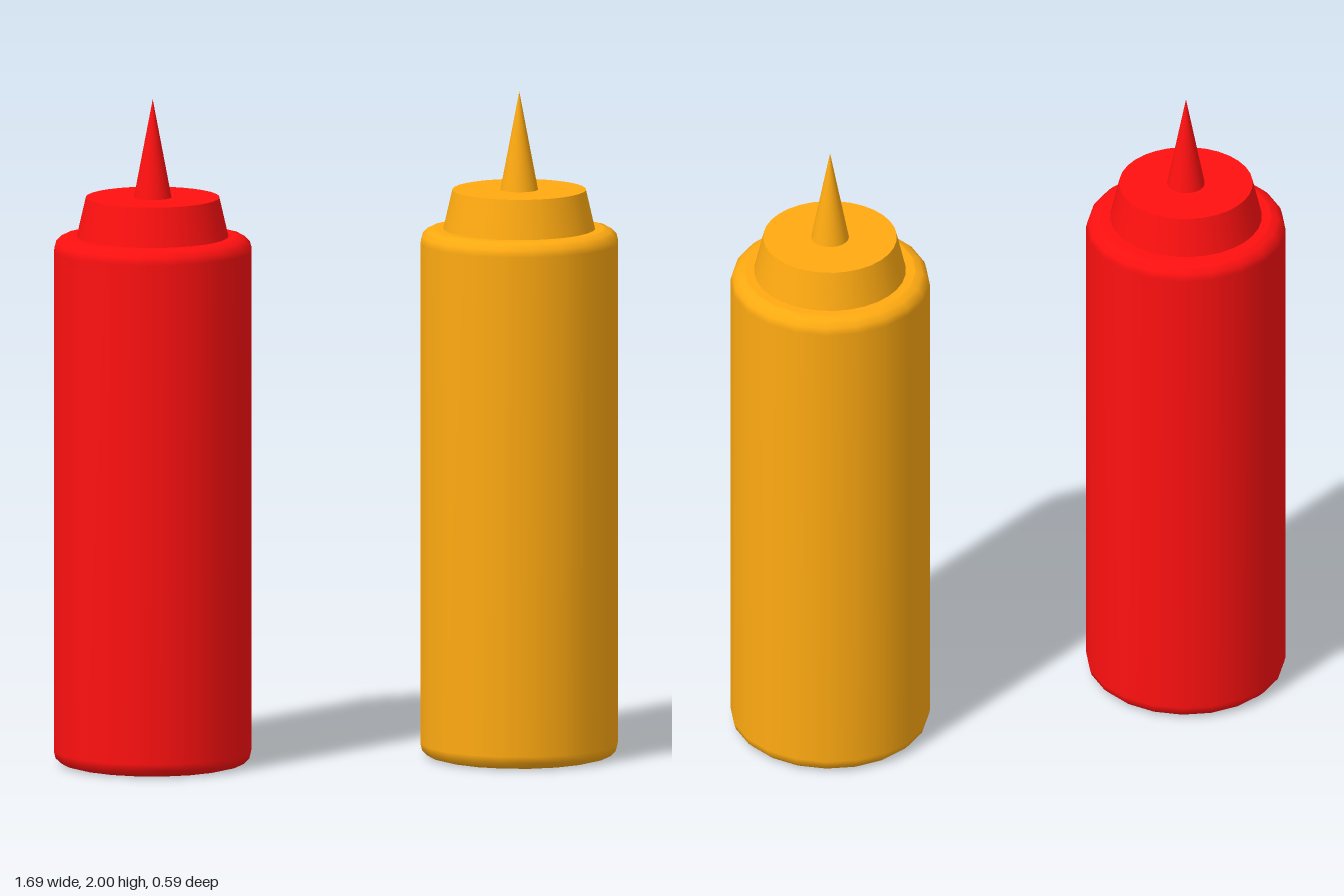
import * as THREE from 'three';

const SIDES = 20;
const RADIUS = 0.297;
const BODY_TOP = 1.588;
const LID_TOP = 1.705;

function add(parent, name, geometry, material, y) {
  const mesh = new THREE.Mesh(geometry, material);
  mesh.name = name;
  mesh.position.y = y;
  parent.add(mesh);
  return mesh;
}

function createBottle(name, color, x) {
  const bottle = new THREE.Group();
  bottle.name = name;
  bottle.position.x = x;
  const material = new THREE.MeshStandardMaterial({ color });

  // Body wall with softly rounded bottom and shoulder
  const bevel = 0.042;
  const profile = [];
  for (let i = 0; i <= 3; i++) {
    const a = (i / 3) * Math.PI / 2;
    profile.push(new THREE.Vector2(RADIUS - bevel * (1 - Math.sin(a)), bevel * (1 - Math.cos(a))));
  }
  for (let i = 3; i >= 0; i--) {
    profile.push(new THREE.Vector2(profile[i].x, BODY_TOP - profile[i].y));
  }
  add(bottle, 'body', new THREE.LatheGeometry(profile, SIDES), material, 0);

  // Flat discs closing the body
  const disc = new THREE.CircleGeometry(RADIUS - bevel, SIDES);
  add(bottle, 'base', disc, material, 0).rotation.x = Math.PI / 2;
  add(bottle, 'shoulderTop', disc, material, BODY_TOP).rotation.x = -Math.PI / 2;

  // Tapered screw lid
  const lidHeight = LID_TOP - BODY_TOP;
  add(bottle, 'lid', new THREE.CylinderGeometry(0.199, 0.226, lidHeight, 32),
    material, BODY_TOP + lidHeight / 2);

  // Pointed nozzle
  const nozzleHeight = 2 - LID_TOP;
  add(bottle, 'nozzle', new THREE.ConeGeometry(0.056, nozzleHeight, 32),
    material, LID_TOP + nozzleHeight / 2);
  return bottle;
}

export function createModel() {
  const model = new THREE.Group();
  model.name = 'sauceBottles';
  model.add(createBottle('ketchupBottle', 0xff1010, -0.55));
  model.add(createBottle('mustardBottle', 0xffaa11, 0.55));
  return model;
}
